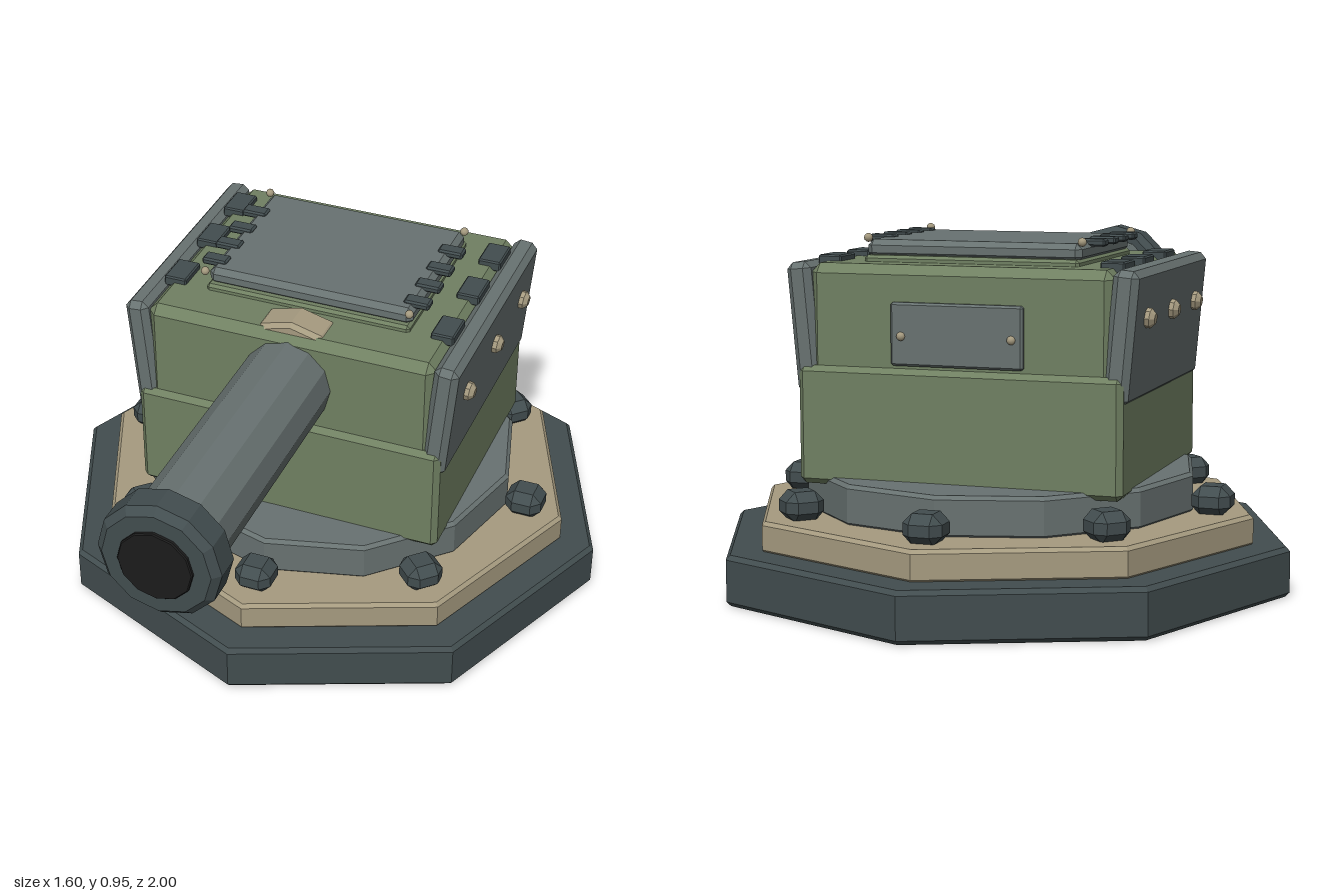
import * as THREE from 'three';
import { ConvexGeometry } from 'three/addons/geometries/ConvexGeometry.js';

const CZ = -0.2; // turret axis
const mat = (name, color) => {
  const m = new THREE.MeshStandardMaterial({ color });
  m.name = name;
  return m;
};

// Box with chamfered edges
function chamferBox(w, h, d, c) {
  const pts = [];
  const x = w / 2, y = h / 2, z = d / 2;
  for (const sx of [-1, 1]) for (const sy of [-1, 1]) for (const sz of [-1, 1]) {
    pts.push(
      new THREE.Vector3(sx * x, sy * (y - c), sz * (z - c)),
      new THREE.Vector3(sx * (x - c), sy * y, sz * (z - c)),
      new THREE.Vector3(sx * (x - c), sy * (y - c), sz * z));
  }
  return new ConvexGeometry(pts);
}

// Faceted closed disc from y0 to y1 with chamfered rims
function chamferDisc(r, y0, y1, c, sides) {
  const profile = [[0, y0], [r - c, y0], [r, y0 + c], [r, y1 - c], [r - c, y1], [0, y1]]
    .map(([a, b]) => new THREE.Vector2(a, b));
  const g = new THREE.LatheGeometry(profile, sides).toNonIndexed();
  g.computeVertexNormals();
  return g;
}

export function createModel() {
  const green = mat('olive green', 0x708062);
  const grey = mat('steel grey', 0x687271);
  const dark = mat('dark slate', 0x424d4f);
  const tan = mat('sand', 0xa69b80);
  const black = mat('bore black', 0x1c1c1c);

  const model = new THREE.Group();
  model.name = 'turret';
  const add = (name, geometry, material, x = 0, y = 0, z = 0, parent = model) => {
    const m = new THREE.Mesh(geometry, material);
    m.name = name;
    m.position.set(x, y, z);
    parent.add(m);
    return m;
  };

  // Stepped base
  add('basePlate', chamferDisc(0.8, 0, 0.135, 0.012, 8), dark, 0, 0, CZ);
  add('baseStep', chamferDisc(0.7, 0.13, 0.215, 0.01, 8), tan, 0, 0, CZ);
  add('turningRing', chamferDisc(0.535, 0.21, 0.32, 0.01, 12), grey, 0, 0, CZ);

  // Anchor bolts around the ring
  const boltGeo = chamferBox(0.105, 0.08, 0.105, 0.025);
  for (let i = 0; i < 8; i++) {
    const a = i * Math.PI / 4;
    add('anchorBolt', boltGeo, dark, Math.sin(a) * 0.59, 0.25, CZ + Math.cos(a) * 0.59).rotation.y = a;
  }

  // Housing
  add('lowerHousing', chamferBox(0.885, 0.315, 0.75, 0.015), green, 0, 0.457, CZ);
  add('upperHousing', chamferBox(0.83, 0.33, 0.72, 0.025), green, 0, 0.717, CZ);

  // Leaning side armour with rivets, and roof clamps beside it
  const armourGeo = chamferBox(0.068, 0.345, 0.73, 0.017);
  const rivetGeo = chamferDisc(0.026, -0.015, 0.022, 0.012, 8).rotateZ(-Math.PI / 2);
  const clampGeo = chamferBox(0.065, 0.03, 0.1, 0.004);
  const hingeGeo = chamferBox(0.072, 0.02, 0.042, 0.005);
  const dotGeo = new THREE.IcosahedronGeometry(0.012, 1);
  for (const s of [-1, 1]) {
    const armour = new THREE.Group();
    armour.name = s > 0 ? 'leftArmour' : 'rightArmour';
    armour.position.set(s * 0.431, 0.711, CZ);
    if (s < 0) armour.rotation.y = Math.PI;
    const tilt = new THREE.Group();
    tilt.name = 'armourTilt';
    tilt.rotation.z = -0.09;
    armour.add(tilt);
    add('armourPlate', armourGeo, grey, 0, 0, 0, tilt);
    for (const z of [-0.243, 0, 0.243]) add('armourRivet', rivetGeo, tan, 0.036, 0.048, z, tilt);
    model.add(armour);

    for (const z of [-0.43, -0.24, -0.025]) add('roofClamp', clampGeo, dark, s * 0.388, 0.883, z);
    for (const z of [-0.33, -0.232, -0.14, -0.05]) add('hatchHinge', hingeGeo, dark, s * 0.294, 0.936, z);
    for (const z of [-0.435, 0.025]) add('hatchScrew', dotGeo, tan, s * 0.295, 0.943, z);
    add('rearScrew', dotGeo, tan, s * 0.15, 0.7, -0.574);
  }

  // Roof hatch and rear access panel
  add('hatchFrame', chamferBox(0.59, 0.03, 0.49, 0.008), green, 0, 0.884, -0.222);
  add('hatchLid', chamferBox(0.59, 0.05, 0.455, 0.015), grey, 0, 0.914, -0.222);
  add('rearPanel', chamferBox(0.36, 0.165, 0.03, 0.006), grey, 0, 0.705, -0.56);

  // Gun, built along y and laid forward
  const gun = new THREE.Group();
  gun.name = 'gun';
  gun.position.y = 0.737;
  gun.rotation.x = Math.PI / 2;
  model.add(gun);
  add('barrelCollar', chamferDisc(0.172, 0.04, 0.14, 0.012, 12), tan, 0, 0, 0, gun);
  add('barrel', chamferDisc(0.125, 0, 0.9, 0.008, 12), grey, 0, 0, 0, gun);
  add('muzzle', chamferDisc(0.165, 0.88, 0.99, 0.02, 12), dark, 0, 0, 0, gun);
  add('bore', chamferDisc(0.1, 0.95, 1, 0.003, 12), black, 0, 0, 0, gun);

  return model;
}
